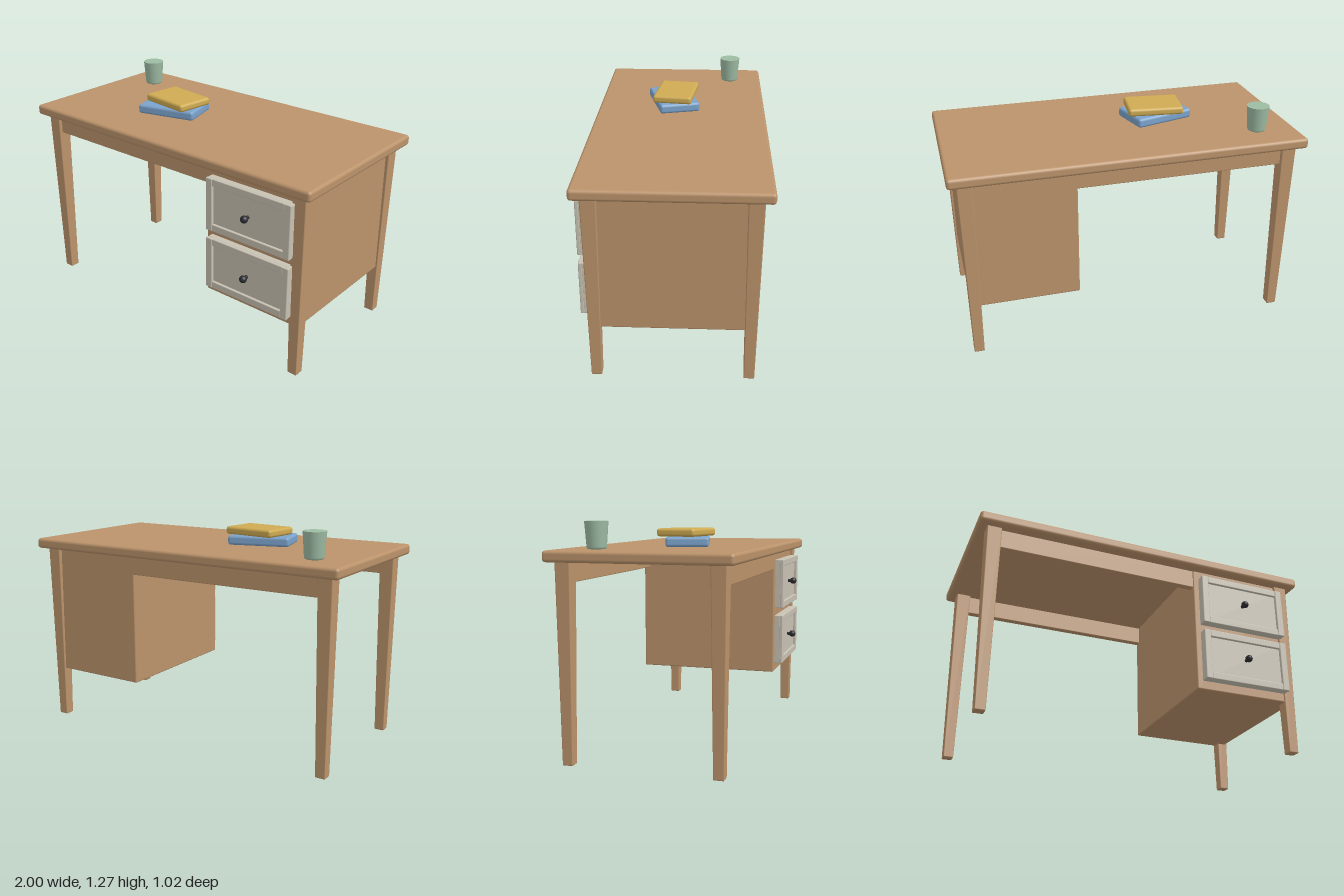
import * as THREE from 'three';
import { RoundedBoxGeometry } from 'three/addons/geometries/RoundedBoxGeometry.js';

export function createModel() {
  const desk = new THREE.Group();
  desk.name = 'desk';

  const mat = (name, color) => {
    const m = new THREE.MeshStandardMaterial({ color });
    m.name = name;
    return m;
  };
  const wood = mat('wood', 0xbb936b);
  const cream = mat('cream paint', 0xc8c2b3);
  const black = mat('black knob', 0x2c2c31);
  const green = mat('green cup', 0x9dbba3);
  const blue = mat('blue cover', 0x7ba3cc);
  const yellow = mat('yellow cover', 0xcfab52);

  const add = (parent, name, geometry, material, x = 0, y = 0, z = 0) => {
    const mesh = new THREE.Mesh(geometry, material);
    mesh.name = name;
    mesh.position.set(x, y, z);
    parent.add(mesh);
    return mesh;
  };
  // Soft-edged box given by its limits on each axis
  const box = (parent, name, material, [x0, x1], [y0, y1], [z0, z1], r = 0.005) =>
    add(parent, name, new RoundedBoxGeometry(x1 - x0, y1 - y0, z1 - z0, 2, r), material,
      (x0 + x1) / 2, (y0 + y1) / 2, (z0 + z1) / 2);

  // Top board
  box(desk, 'tabletop', wood, [-1, 1], [1.07, 1.13], [-0.51, 0.49], 0.018);

  // Tapered legs, narrower at the foot
  const legHeight = 1.075;
  const legGeometry = new RoundedBoxGeometry(0.084, legHeight, 0.084, 2, 0.006);
  const p = legGeometry.attributes.position;
  for (let i = 0; i < p.count; i++) {
    const s = THREE.MathUtils.lerp(0.68, 1, p.getY(i) / legHeight + 0.5);
    p.setX(i, p.getX(i) * s);
    p.setZ(i, p.getZ(i) * s);
  }
  for (const x of [-0.908, 0.908])
    for (const z of [-0.42, 0.4]) add(desk, 'leg', legGeometry, wood, x, legHeight / 2, z);

  // Aprons under the front and back edges
  box(desk, 'frontApron', wood, [-0.9, 0.34], [0.96, 1.08], [0.38, 0.42]);
  box(desk, 'backApron', wood, [-0.9, 0.34], [0.96, 1.08], [-0.44, -0.4]);

  // Drawer cabinet
  box(desk, 'cabinet', wood, [0.31, 0.93], [0.305, 1.075], [-0.44, 0.425], 0.008);

  // Drawers with a raised frame and a round knob
  for (const y of [0.867, 0.512]) {
    const drawer = new THREE.Group();
    drawer.name = 'drawer';
    drawer.position.set(0.615, y, 0);
    desk.add(drawer);
    box(drawer, 'drawerPanel', cream, [-0.27, 0.27], [-0.154, 0.154], [0.42, 0.46]);
    for (const s of [-1, 1]) {
      add(drawer, 'drawerStile', new RoundedBoxGeometry(0.042, 0.308, 0.02, 2, 0.005), cream, s * 0.251, 0, 0.467);
      add(drawer, 'drawerRail', new RoundedBoxGeometry(0.464, 0.042, 0.018, 2, 0.005), cream, 0, s * 0.133, 0.466);
    }
    const stem = add(drawer, 'knobStem', new THREE.CylinderGeometry(0.01, 0.01, 0.03, 16), black, 0, 0, 0.47);
    stem.rotation.x = Math.PI / 2;
    add(drawer, 'knob', new THREE.SphereGeometry(0.021, 20, 14), black, 0, 0, 0.493);
  }

  // Stacked books
  const book = (name, material, w, h, d, x, y, z, turn) => {
    const b = add(desk, name, new RoundedBoxGeometry(w, h, d, 2, 0.016), material, x, y, z);
    b.rotation.y = turn;
  };
  book('lowerBook', blue, 0.36, 0.055, 0.24, -0.272, 1.157, 0.04, 0.26);
  book('upperBook', yellow, 0.32, 0.045, 0.23, -0.255, 1.207, 0.025, -0.125);

  // Cup with a rounded foot
  const cupProfile = [[0, 0], [0.045, 0], [0.05, 0.003], [0.053, 0.012], [0.063, 0.145], [0.063, 0.145], [0, 0.145]]
    .map(([r, y]) => new THREE.Vector2(r, y));
  // Wall and lid are separate so the rim stays crisp
  add(desk, 'cup', new THREE.LatheGeometry(cupProfile.slice(0, 5), 32), green, -0.77, 1.13, -0.305);
  const lid = add(desk, 'cupTop', new THREE.CircleGeometry(0.063, 32), green, -0.77, 1.275, -0.305);
  lid.rotation.x = -Math.PI / 2;

  return desk;
}
